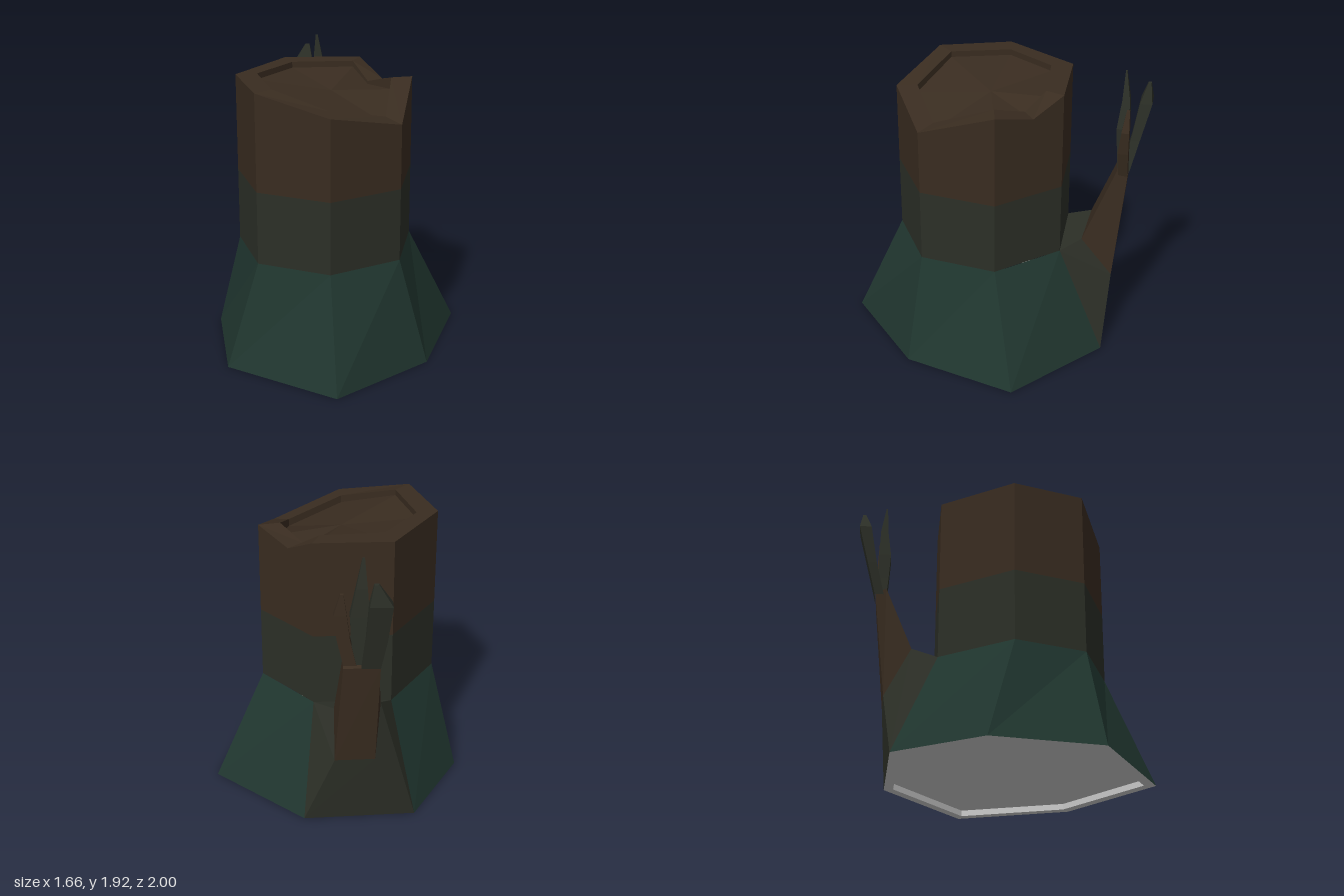
import * as THREE from 'three';

const bark = 0x392c20, moss = 0x20362f, blend = 0x2c2f27, grey = 0xcccccc;

// Quads between successive rings (counterclockwise seen from the end they grow towards)
function loft(rings, { skip = -1, cap = false } = {}) {
  const out = [];
  for (let r = 0; r + 1 < rings.length; r++) {
    const a = rings[r], b = rings[r + 1], n = a.length;
    for (let i = 0; i < n; i++) {
      if (i === skip) continue;
      const j = (i + 1) % n;
      out.push(a[i], a[j], b[j], a[i], b[j], b[i]);
    }
  }
  if (cap) {
    const ring = rings[rings.length - 1], n = ring.length;
    const mid = [0, 1, 2].map(k => ring.reduce((s, p) => s + p[k], 0) / n);
    ring.forEach((p, i) => out.push(mid, p, ring[(i + 1) % n]));
  }
  return out;
}

function part(name, color, triangles) {
  const geo = new THREE.BufferGeometry();
  geo.setAttribute('position', new THREE.Float32BufferAttribute(triangles.flat(), 3));
  geo.computeVertexNormals();
  const mesh = new THREE.Mesh(geo, new THREE.MeshStandardMaterial({ color, flatShading: true }));
  mesh.name = name;
  return mesh;
}

// Put a plan outline [x, z] at one height or at a height per corner
const raise = (plan, y) => plan.map(([x, z], i) => [x, Array.isArray(y) ? y[i] : y, z]);

// Four-sided twig section centred on x, z
const section = ([x, y, z, w, d]) => [
  [x + w / 2, y, z + d / 2], [x + w / 2, y, z - d / 2],
  [x - w / 2, y, z - d / 2], [x - w / 2, y, z + d / 2]];

export function createModel() {
  const model = new THREE.Group();
  model.name = 'treeStump';

  // Plan outlines, starting at the front corner and running towards +x
  const basePlan = [[0, 1], [0.6, 0.5], [0.83, -0.25], [0.23, -0.77], [-0.5, -0.73], [-0.83, -0.16], [-0.72, 0.57]];
  const trunkPlan = [[-0.04, 0.68], [0.41, 0.43], [0.5, -0.08], [0.16, -0.46], [-0.35, -0.45], [-0.66, 0.02], [-0.51, 0.49]];
  const innerPlan = [[-0.05, 0.54], [0.31, 0.35], [0.36, -0.05], [0.11, -0.34], [-0.3, -0.31], [-0.52, 0], [-0.41, 0.39]];
  const base = raise(basePlan, 0), waist = raise(trunkPlan, 0.71);

  // Flared roots; the back face is left open for the branch
  model.add(part('flaredBase', moss, loft([base, waist], { skip: 3 })));

  // Trunk with one extra corner for the notch in the rim
  const notched = (plan, x, z) => [...plan.slice(0, 3), [x, z], ...plan.slice(3)];
  const outer = notched(trunkPlan, 0.31, -0.29), inner = notched(innerPlan, 0.21, -0.22);
  const top = raise(outer, [1.74, 1.63, 1.81, 1.74, 1.85, 1.85, 1.85, 1.85]);
  const lip = raise(inner, [1.75, 1.66, 1.81, 1.74, 1.85, 1.85, 1.85, 1.85]);
  const floor = raise(inner, [1.7, 1.61, 1.73, 1.72, 1.81, 1.81, 1.81, 1.81]);
  const girth = raise(outer, 1.2);
  model.add(part('lowerTrunk', blend, loft([raise(outer, 0.71), girth])));
  model.add(part('upperTrunk', bark, loft([girth, top])));
  model.add(part('rim', bark, loft([top, lip, floor], { cap: true })));

  // Recessed underside
  const inset = basePlan.map(([x, z]) => [x * 0.92, z * 0.92]);
  const underside = [raise(inset, 0.04), raise(inset, 0), base];
  const ceiling = [...underside[0]].reverse();
  model.add(part('underside', grey, [...loft(underside), ...loft([ceiling], { cap: true })]));

  // Branch growing out of the back face
  const branch = new THREE.Group();
  branch.name = 'branch';
  const opening = [waist[3], base[3], base[4], waist[4]];
  const elbow = [[0.03, 0.74, -0.59], [0.03, 0.48, -0.8], [-0.23, 0.48, -0.79], [-0.27, 0.8, -0.62]];
  const fork = [[-0.02, 1.25, -0.8], [-0.02, 1.2, -0.87], [-0.25, 1.2, -0.87], [-0.24, 1.25, -0.8]];
  branch.add(part('branchRoot', blend, loft([opening, elbow])));
  branch.add(part('branchStem', bark, loft([elbow, fork], { cap: true })));

  // Three pointed twigs: sections of x, y, z, width, depth
  const twigs = {
    rearTwig: [[-0.19, 1.2, -0.845, 0.12, 0.06], [-0.22, 1.42, -0.9, 0.13, 0.06],
      [-0.24, 1.68, -0.955, 0.14, 0.08], [-0.21, 1.82, -0.97, 0.03, 0.02]],
    tallTwig: [[-0.13, 1.22, -0.83, 0.11, 0.06], [-0.125, 1.36, -0.825, 0.11, 0.07],
      [-0.12, 1.54, -0.82, 0.12, 0.08], [-0.13, 1.73, -0.83, 0.07, 0.05], [-0.14, 1.92, -0.82, 0.015, 0.01]],
    shortTwig: [[-0.06, 1.22, -0.84, 0.08, 0.06], [-0.02, 1.4, -0.835, 0.08, 0.07],
      [0, 1.56, -0.845, 0.08, 0.05], [-0.01, 1.7, -0.855, 0.02, 0.02]],
  };
  for (const [name, sections] of Object.entries(twigs))
    branch.add(part(name, name === 'shortTwig' ? bark : blend, loft(sections.map(section), { cap: true })));
  model.add(branch);

  return model;
}
